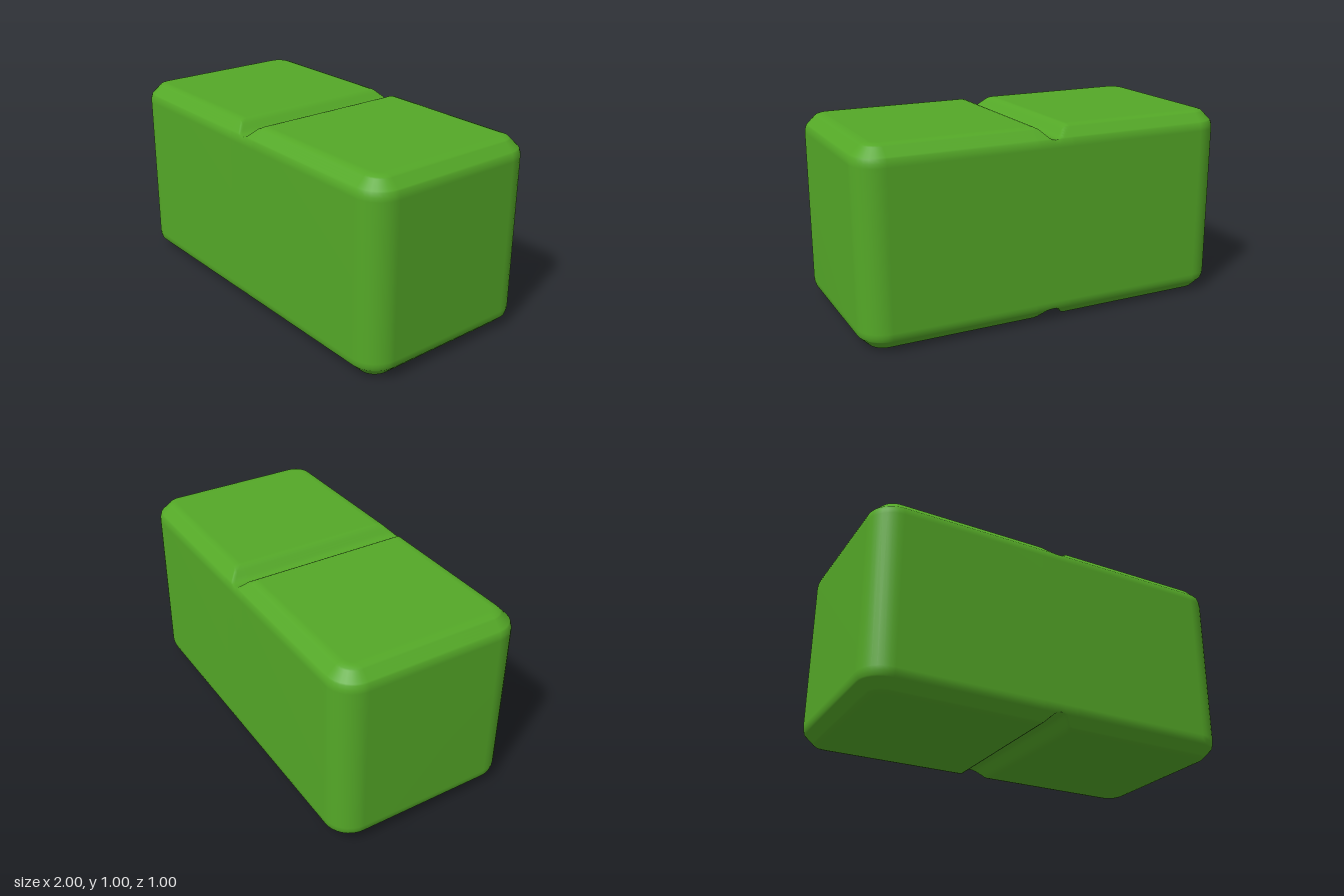
import * as THREE from 'three';

const HX = 1, HZ = 0.5, HEIGHT = 1, R = 0.14, ARC = 8;

// edge bevel: [inset, drop from the top or bottom face]
const BEVEL = [[0, 0.1], [0.002, 0.08], [0.008, 0.06], [0.014, 0.054], [0.024, 0.044],
  [0.034, 0.034], [0.044, 0.024], [0.054, 0.014], [0.06, 0.008], [0.08, 0.002], [0.1, 0]];

// middle groove: [distance from centre, depth]
const GROOVE = [[0.1, 0], [0.085, 0.003], [0.07, 0.012], [0.06, 0.021], [0.05, 0.031],
  [0.04, 0.041], [0.03, 0.051], [0.018, 0.058], [0, 0.061]];

// front half of the rounded outline as [x, z, groove depth], from left to right
function halfOutline(inset) {
  const pts = [], r = R - inset;
  const arc = (cx, from) => {
    for (let k = 0; k <= ARC; k++) {
      const a = from - (k / ARC) * Math.PI / 2;
      pts.push([cx + Math.cos(a) * r, HZ - R + Math.sin(a) * r, 0]);
    }
  };
  arc(-(HX - R), Math.PI);
  GROOVE.forEach(([x, d]) => pts.push([-x, HZ - inset, d]));
  GROOVE.slice(0, -1).reverse().forEach(([x, d]) => pts.push([x, HZ - inset, d]));
  arc(HX - R, Math.PI / 2);
  return pts;
}

function blockGeometry() {
  const pos = [], idx = [];
  let half = 0;
  const addRing = (inset, drop, top) => {
    const front = halfOutline(inset);
    half = front.length;
    const back = front.map(([x, z, d]) => [x, -z, d]).reverse();
    for (const [x, z, d] of [...front, ...back]) {
      const cut = Math.max(drop, d);
      pos.push(x, top ? HEIGHT - cut : cut, z);
    }
  };
  [...BEVEL].reverse().forEach(([i, d]) => addRing(i, d, false));
  BEVEL.forEach(([i, d]) => addRing(i, d, true));

  // walls and bevels
  const n = half * 2, rings = BEVEL.length * 2;
  for (let j = 0; j < rings - 1; j++) {
    for (let i = 0; i < n; i++) {
      const k = (i + 1) % n;
      const a = j * n + i, b = j * n + k, c = b + n, d = a + n;
      idx.push(a, b, d, b, c, d);
    }
  }
  // top and bottom faces, in strips from front to back
  const last = (rings - 1) * n;
  for (let i = 0; i < half - 1; i++) {
    const a = i, b = i + 1, c = n - 2 - i, d = n - 1 - i;
    idx.push(last + a, last + b, last + d, last + b, last + c, last + d);
    idx.push(a, d, b, b, d, c);
  }

  const geo = new THREE.BufferGeometry();
  geo.setAttribute('position', new THREE.Float32BufferAttribute(pos, 3));
  geo.setIndex(idx);
  geo.computeVertexNormals();
  return geo;
}

export function createModel() {
  const green = new THREE.MeshStandardMaterial({ color: 0x54a827 });
  green.name = 'leafGreen';
  const block = new THREE.Mesh(blockGeometry(), green);
  block.name = 'groovedBlock';
  const group = new THREE.Group();
  group.name = 'hedgeBlock';
  group.add(block);
  return group;
}
